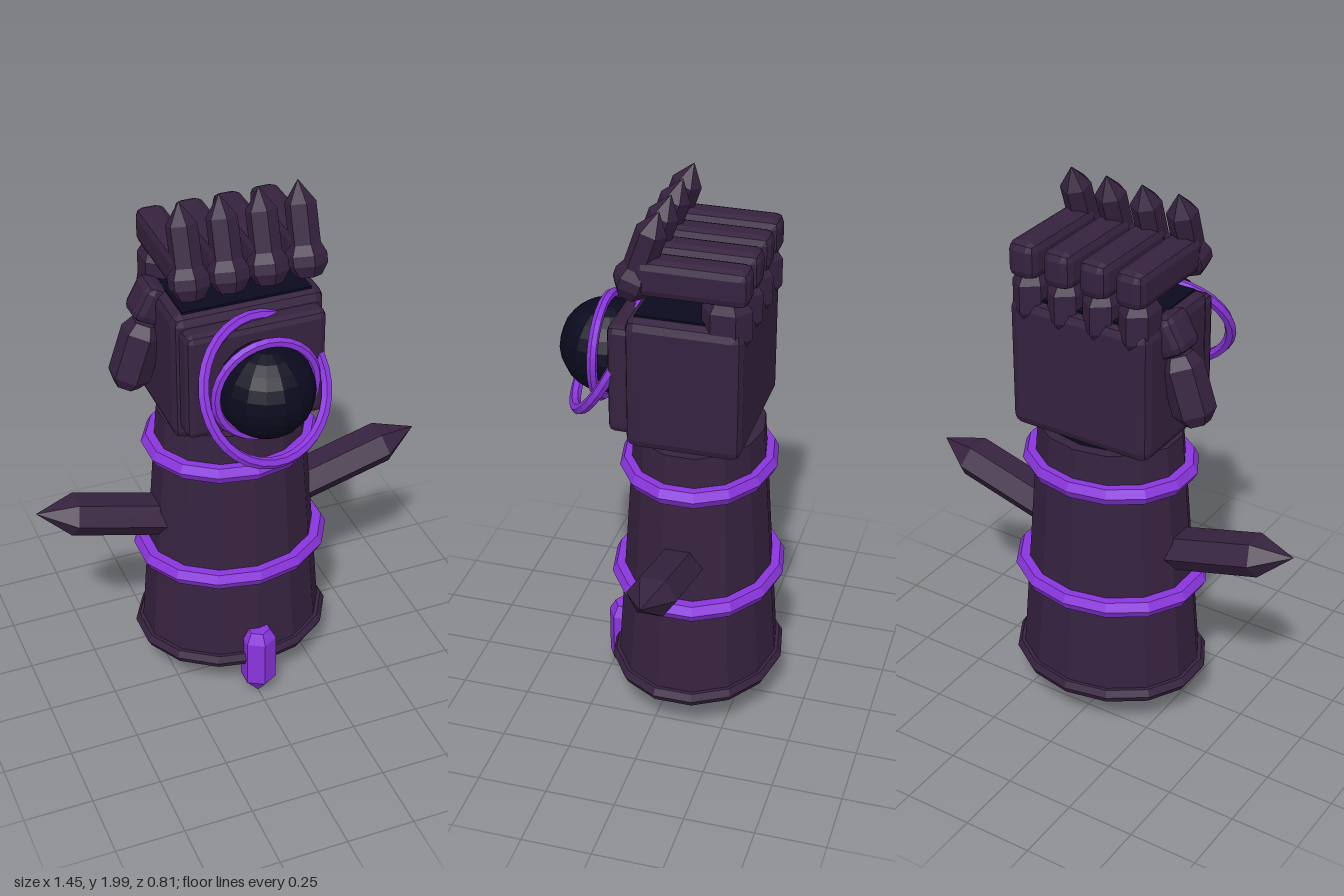
import * as THREE from 'three';
import { RoundedBoxGeometry } from 'three/addons/geometries/RoundedBoxGeometry.js';

const material = (name, color) => {
  const m = new THREE.MeshStandardMaterial({ color });
  m.name = name;
  return m;
};

export function createModel() {
  const armour = material('dark plum armour', 0x36223f);
  const glow = material('bright violet', 0x8a35dd);
  const core = material('midnight core', 0x0a0a1e);
  const model = new THREE.Group();
  model.name = 'gauntlet';

  // Adds a faceted mesh
  const add = (name, geometry, mat, x = 0, y = 0, z = 0, parent = model) => {
    const g = geometry.index ? geometry.toNonIndexed() : geometry;
    g.computeVertexNormals();
    const mesh = new THREE.Mesh(g, mat);
    mesh.name = name;
    mesh.position.set(x, y, z);
    parent.add(mesh);
    return mesh;
  };
  // Turned shape from [radius, height] pairs, bottom to top
  const turned = (profile, sides = 6) =>
    new THREE.LatheGeometry(profile.map(([r, y]) => new THREE.Vector2(r, y)), sides);
  const block = (w, h, d, r) => new RoundedBoxGeometry(w, h, d, 1, r);

  // Forearm: oval tapered sleeve with rim and glowing bands
  const axisZ = -0.093, oval = 0.86;
  const sleeve = add('forearm', new THREE.CylinderGeometry(0.265, 0.338, 0.96, 14), armour, 0, 0.66, axisZ);
  sleeve.scale.z = oval;
  const band = (name, y, radius, tube, mat) => {
    const g = new THREE.TorusGeometry(radius, tube, 6, 14);
    g.rotateZ(Math.PI / 2).rotateX(Math.PI / 2);
    add(name, g, mat, 0, y, axisZ).scale.z = oval;
  };
  band('cuffRim', 0.185, 0.335, 0.029, armour);
  band('lowerBand', 0.557, 0.325, 0.035, glow);
  band('upperBand', 1.0, 0.287, 0.035, glow);
  add('wrist', new THREE.CylinderGeometry(0.22, 0.22, 0.12, 14), core, 0, 1.16, axisZ).scale.z = oval;

  // Side spikes
  for (const side of [-1, 1]) {
    const g = turned([[0, 0], [0.0875, 0], [0.0875, 0.39], [0, 0.525]]);
    g.scale(0.82, 1, 1);
    const spike = add(side > 0 ? 'leftSpike' : 'rightSpike', g, armour, side * 0.22, 0.697, axisZ);
    spike.rotation.z = -side * (Math.PI / 2 - 0.27);
  }

  // Hanging crystal at the cuff
  add('cuffCrystal', turned([[0, 0.005], [0.065, 0.085], [0.065, 0.27], [0.042, 0.31], [0, 0.31]]), glow, 0, 0, 0.187);

  // Palm
  add('palm', block(0.54, 0.48, 0.4, 0.035), armour, 0, 1.39, -0.1);
  add('palmPlate', block(0.5, 0.4, 0.1, 0.025), armour, 0, 1.39, 0.115);
  add('knucklePlate', new THREE.BoxGeometry(0.46, 0.008, 0.34), core, 0, 1.632, -0.1);

  // Orb and its two rings
  const orbY = 1.387, orbZ = 0.238;
  add('orb', new THREE.SphereGeometry(0.166, 16, 12), core, 0, orbY, orbZ);
  add('innerRing', new THREE.TorusGeometry(0.178, 0.018, 6, 28), glow, 0, orbY, orbZ);
  const outer = add('outerRing', new THREE.TorusGeometry(0.245, 0.02, 6, 32), glow, 0, orbY, orbZ);
  outer.quaternion.setFromUnitVectors(
    new THREE.Vector3(0, 0, 1), new THREE.Vector3(0.31, 0.58, 1).normalize());

  // Four bent fingers with claws
  for (let i = 0; i < 4; i++) {
    const finger = new THREE.Group();
    finger.name = 'finger' + (i + 1);
    finger.position.x = -0.206 + i * 0.137;
    model.add(finger);
    const base = turned([[0, 1.52], [0.045, 1.54], [0.085, 1.59], [0.085, 1.69], [0.06, 1.725], [0, 1.725]]);
    base.scale(0.76, 1, 1);
    add('fingerBase', base, armour, 0, 0, -0.235, finger);
    add('fingerMiddle', block(0.106, 0.13, 0.385, 0.03), armour, 0, 1.777, -0.122, finger);
    const claw = new THREE.Group();
    claw.name = 'claw';
    claw.position.set(0, 1.697, 0.095);
    claw.rotation.x = -0.33;
    finger.add(claw);
    add('clawJoint', turned([[0, 0], [0.045, 0], [0.07, 0.04], [0.07, 0.075], [0.05, 0.115], [0, 0.115]]), armour, 0, 0, 0, claw);
    add('clawTip', turned([[0, 0.08], [0.053, 0.09], [0.053, 0.245], [0, 0.32]]), armour, 0, 0, 0, claw);
  }

  // Thumb folded down on the right side
  const knuckle = add('thumbBase', block(0.12, 0.14, 0.13, 0.03), armour, -0.265, 1.575, -0.14);
  knuckle.rotation.z = -0.5;
  const thumb = add('thumbTip',
    turned([[0, -0.13], [0.045, -0.13], [0.075, -0.09], [0.075, 0.08], [0.05, 0.12], [0, 0.12]]),
    armour, -0.325, 1.39, -0.13);
  thumb.rotation.z = -0.32;

  return model;
}
